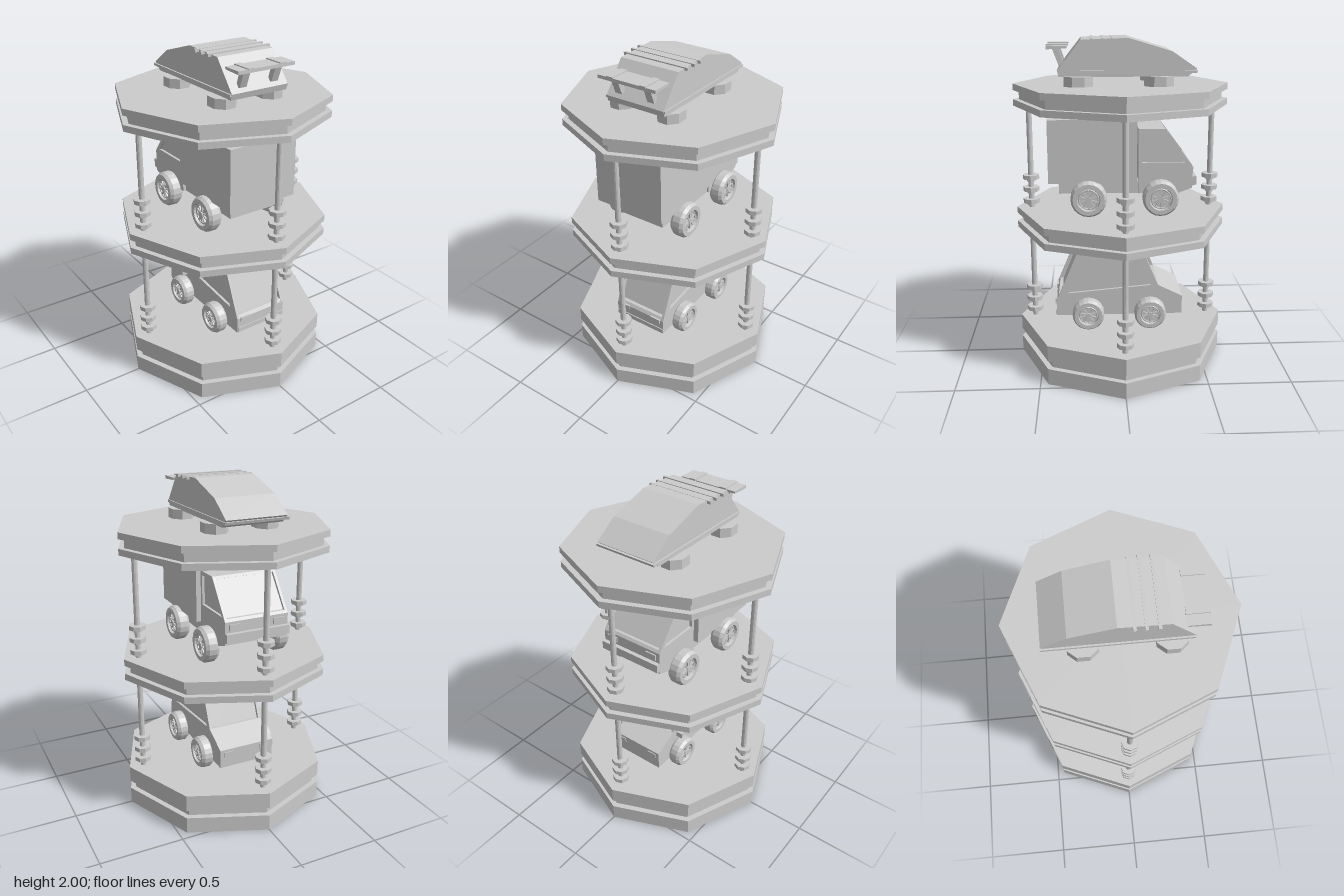
import * as THREE from 'three';

const material = new THREE.MeshStandardMaterial({ color: 0xcccccc, flatShading: true, side: THREE.DoubleSide });

function add(parent, name, geometry, x = 0, y = 0, z = 0) {
  const mesh = new THREE.Mesh(geometry, material);
  mesh.name = name;
  mesh.position.set(x, y, z);
  parent.add(mesh);
  return mesh;
}

function box(parent, name, w, h, d, x, y, z) {
  return add(parent, name, new THREE.BoxGeometry(w, h, d), x, y, z);
}

function group(parent, name) {
  const g = new THREE.Group();
  g.name = name;
  parent.add(g);
  return g;
}

// Side profile of [z, y] points, extruded across x from x0 to x1
function slab(parent, name, points, x0, x1, hole) {
  const toVectors = (list) => list.map(([z, y]) => new THREE.Vector2(-z, y));
  const shape = new THREE.Shape(toVectors(points));
  if (hole) shape.holes.push(new THREE.Path(toVectors(hole)));
  const geometry = new THREE.ExtrudeGeometry(shape, { depth: x1 - x0, bevelEnabled: false });
  geometry.rotateY(Math.PI / 2);
  return add(parent, name, geometry, x0);
}

// Eight-sided tier with a groove around its rim; an open one is a hollow shell
function tier(parent, name, y0, y1, y2, y3, open) {
  const R = 0.64, r = 0.605;
  const profile = [[R, y0], [R, y1], [r, y1], [r, y2], [R, y2], [R, y3], [0, y3]];
  if (!open) profile.unshift([0, y0]);
  add(parent, name, new THREE.LatheGeometry(profile.map(([a, b]) => new THREE.Vector2(a, b)), 8));
}

// Four posts with stacked nuts near the foot
function posts(parent, y0, y1, nutHeights) {
  for (let i = 0; i < 4; i++) {
    const a = i * Math.PI / 2;
    const post = group(parent, 'post');
    post.position.set(0.55 * Math.sin(a), 0, 0.55 * Math.cos(a));
    add(post, 'postRod', new THREE.CylinderGeometry(0.017, 0.017, y1 - y0, 12), 0, (y0 + y1) / 2, 0);
    for (const y of nutHeights) {
      add(post, 'nut', new THREE.CylinderGeometry(0.05, 0.05, 0.026, 8), 0, y, 0);
      add(post, 'collar', new THREE.CylinderGeometry(0.025, 0.025, 0.016, 8), 0, y - 0.021, 0);
    }
  }
}

// Spoked wheel, its outer face towards side (+1 or -1) along x
function wheel(parent, r, width, x, y, z, side) {
  const g = group(parent, 'wheel');
  const h = width / 2;
  const tyre = [[0.62, -h], [0.88, -h], [1, -h * 0.55], [1, h * 0.55], [0.88, h], [0.64, h], [0.6, h * 0.6], [0.6, -h], [0.62, -h]];
  add(g, 'tyre', new THREE.LatheGeometry(tyre.map(([a, b]) => new THREE.Vector2(a * r, b)), 20));
  add(g, 'rimDisc', new THREE.CylinderGeometry(r * 0.61, r * 0.61, width * 0.7, 20), 0, -width * 0.1, 0);
  add(g, 'hub', new THREE.CylinderGeometry(r * 0.16, r * 0.16, width * 0.2, 10), 0, h * 0.7, 0);
  const ring = add(g, 'rimRing', new THREE.TorusGeometry(r * 0.53, r * 0.05, 5, 20), 0, h * 0.65, 0);
  ring.rotation.x = Math.PI / 2;
  for (let i = 0; i < 10; i++) {
    const a = i * Math.PI / 5;
    const spoke = box(g, 'spoke', r * 0.42, width * 0.14, r * 0.07, Math.cos(a) * r * 0.34, h * 0.62, -Math.sin(a) * r * 0.34);
    spoke.rotation.y = a;
  }
  g.rotation.z = -side * Math.PI / 2;
  g.position.set(x, y, z);
}

function wheels(parent, r, width, centre, reach, y, zs) {
  for (const z of zs) {
    for (const s of [-1, 1]) wheel(parent, r, width, centre + s * reach, y, z, s);
    const axle = add(parent, 'axle', new THREE.CylinderGeometry(0.015, 0.015, reach * 2, 8), centre, y, z);
    axle.rotation.z = Math.PI / 2;
  }
}

function buildCar(parent) {
  const car = group(parent, 'car');
  const x0 = -0.16, x1 = 0.192, t = 0.016;
  const outline = [[0.405, 0.325], [0.405, 0.42], [0.245, 0.8], [-0.1, 0.8], [-0.22, 0.515], [-0.37, 0.44], [-0.37, 0.325]];
  const window = [[0.33, 0.47], [0.205, 0.755], [-0.065, 0.755], [-0.175, 0.515]];
  // Core sits behind the side panels so the windows and glass look recessed
  const core = [[0.405, 0.325], [0.405, 0.42], [0.392, 0.44], [0.37, 0.44], [0.235, 0.775], [-0.09, 0.775],
    [-0.2, 0.515], [-0.22, 0.515], [-0.37, 0.44], [-0.37, 0.325]];
  slab(car, 'carBody', core, x0 + t, x1 - t);
  slab(car, 'carSideRight', outline, x0, x0 + t, window);
  slab(car, 'carSideLeft', outline, x1 - t, x1, window);
  slab(car, 'carRoof', [[0.245, 0.785], [0.25, 0.77], [-0.095, 0.77], [-0.1, 0.785]], x0 + t, x1 - t);
  // Lamps, bumper and door mirror
  for (const s of [-1, 1]) {
    box(car, 'rearLamp', 0.07, 0.028, 0.012, 0.016 + s * 0.118, 0.412, 0.407);
    box(car, 'headLamp', 0.06, 0.03, 0.01, 0.016 + s * 0.12, 0.41, -0.37);
  }
  box(car, 'rearBumper', 0.34, 0.03, 0.012, 0.016, 0.345, 0.405);
  box(car, 'doorMirror', 0.04, 0.035, 0.025, -0.18, 0.475, -0.17);
  wheels(car, 0.097, 0.08, 0.013, 0.207, 0.345, [0.21, -0.17]);
}

function buildTruck(parent) {
  const truck = group(parent, 'truck');
  box(truck, 'cargoBox', 0.45, 0.375, 0.52, -0.015, 1.357, 0.175);
  box(truck, 'chassis', 0.37, 0.075, 0.72, -0.01, 1.138, 0.015);
  const x0 = -0.215, x1 = 0.185, t = 0.016;
  const outline = [[-0.095, 1.1], [-0.095, 1.485], [-0.25, 1.485], [-0.415, 1.265], [-0.415, 1.2], [-0.415, 1.13], [-0.335, 1.1]];
  const window = [[-0.115, 1.285], [-0.115, 1.46], [-0.24, 1.46], [-0.37, 1.285]];
  const core = [[-0.095, 1.1], [-0.095, 1.485], [-0.25, 1.485], [-0.26, 1.47], [-0.245, 1.465], [-0.385, 1.28],
    [-0.403, 1.28], [-0.415, 1.265], [-0.415, 1.13], [-0.335, 1.1]];
  slab(truck, 'cabBody', core, x0 + t, x1 - t);
  slab(truck, 'cabSideRight', outline, x0, x0 + t, window);
  slab(truck, 'cabSideLeft', outline, x1 - t, x1, window);
  slab(truck, 'frontBumper', [[-0.35, 1.2], [-0.44, 1.2], [-0.44, 1.15], [-0.35, 1.12]], x0, x1);
  for (const s of [-1, 1]) box(truck, 'headLamp', 0.07, 0.035, 0.012, -0.015 + s * 0.14, 1.232, -0.417);
  wheels(truck, 0.107, 0.085, -0.014, 0.229, 1.08, [0.2, -0.225]);
}

function buildRacer(parent) {
  const racer = group(parent, 'racer');
  const outline = [[0.36, 1.785], [0.37, 1.82], [0.235, 1.99], [-0.035, 2.0], [-0.285, 1.925], [-0.425, 1.83], [-0.375, 1.785]];
  slab(racer, 'racerBody', outline, -0.187, 0.185);
  slab(racer, 'skirt', [[0.365, 1.805], [0.365, 1.82], [-0.43, 1.82], [-0.425, 1.805]], -0.197, 0.192);
  // Roof slats
  for (const z of [0.05, 0.108, 0.173]) box(racer, 'roofSlat', 0.415, 0.017, 0.017, -0.003, 1.99, z);
  // Rear wing on two struts
  slab(racer, 'wing', [[0.43, 1.938], [0.43, 1.957], [0.31, 1.957], [0.315, 1.943]], -0.19, 0.18);
  for (const x of [-0.11, 0.1]) {
    slab(racer, 'wingStrut', [[0.4, 1.945], [0.362, 1.945], [0.335, 1.865], [0.31, 1.865], [0.33, 1.84], [0.362, 1.845]], x - 0.022, x + 0.022);
    box(racer, 'wingClamp', 0.04, 0.01, 0.125, x, 1.958, 0.37);
  }
  // Flat eight-sided feet
  for (const x of [-0.168, 0.152]) for (const z of [0.25, -0.212]) {
    const foot = new THREE.CylinderGeometry(0.08, 0.08, 0.058, 8);
    foot.rotateY(Math.PI / 8);
    foot.scale(0.97, 1, 1.12);
    add(racer, 'foot', foot, x, 1.758, z);
  }
}

export function createModel() {
  const model = new THREE.Group();
  model.name = 'carouselTower';
  tier(model, 'baseTier', 0, 0.1, 0.152, 0.25, true);
  tier(model, 'middleTier', 0.845, 0.885, 0.935, 0.975, false);
  tier(model, 'topTier', 1.6, 1.638, 1.692, 1.73, false);
  posts(model, 0.19, 0.85, [0.3, 0.37, 0.445]);
  posts(model, 0.97, 1.61, [1.015, 1.09, 1.165]);
  buildCar(model);
  buildTruck(model);
  buildRacer(model);
  return model;
}
